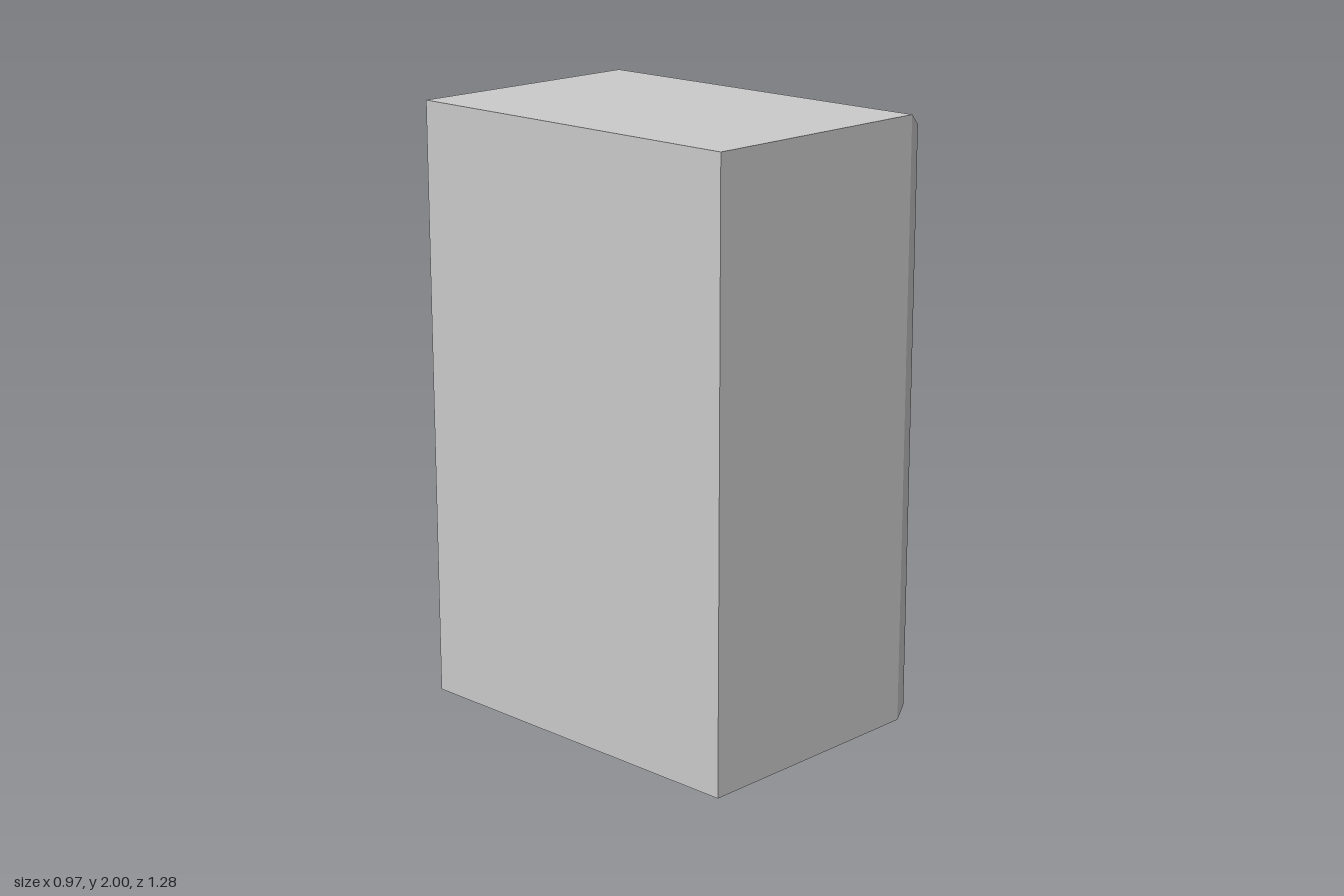
import * as THREE from 'three';

const material = new THREE.MeshStandardMaterial({ color: 0xcccccc, flatShading: true });

// Block running along x through rectangular sections [x, y0, y1, z0, z1]
function sectionBlock(name, sections) {
  const steps = sections.length - 1;
  const geometry = new THREE.BoxGeometry(1, 1, 1, steps, 1, 1).toNonIndexed();
  const p = geometry.attributes.position;
  for (let i = 0; i < p.count; i++) {
    const [x, y0, y1, z0, z1] = sections[Math.round((p.getX(i) + 0.5) * steps)];
    p.setXYZ(i, x, p.getY(i) < 0 ? y0 : y1, p.getZ(i) < 0 ? z0 : z1);
  }
  geometry.computeVertexNormals();
  const mesh = new THREE.Mesh(geometry, material);
  mesh.name = name;
  return mesh;
}

// Swap a section to the other side of the centre seam
const mirrorZ = ([x, y0, y1, z0, z1]) => [x, y0, y1, -z1, -z0];

export function createModel() {
  const group = new THREE.Group();
  group.name = 'cabinet';

  const seat = 0.375;   // plane where the doors meet the body
  const face = 0.415;   // outer face of the doors
  const half = 0.638;   // half the cabinet width

  group.add(sectionBlock('body', [
    [-0.485, 0, 2, -half, half],
    [seat, 0, 2, -half, half],
  ]));

  // Bevelled door, forming a V groove at the centre seam
  const door = [
    [seat, 0, 2, 0, half],
    [face, 0.036, 1.964, 0.037, 0.629],
  ];

  // Upright handle with a chamfered outer face
  const handle = [
    [face, 0.772, 1.265, 0.1, 0.184],
    [0.464, 0.772, 1.265, 0.1, 0.184],
    [0.485, 0.785, 1.251, 0.105, 0.179],
  ];

  for (const [side, place] of [['left', mirrorZ], ['right', (s) => s]]) {
    group.add(sectionBlock(`${side}Door`, door.map(place)));
    group.add(sectionBlock(`${side}Handle`, handle.map(place)));
  }
  return group;
}
